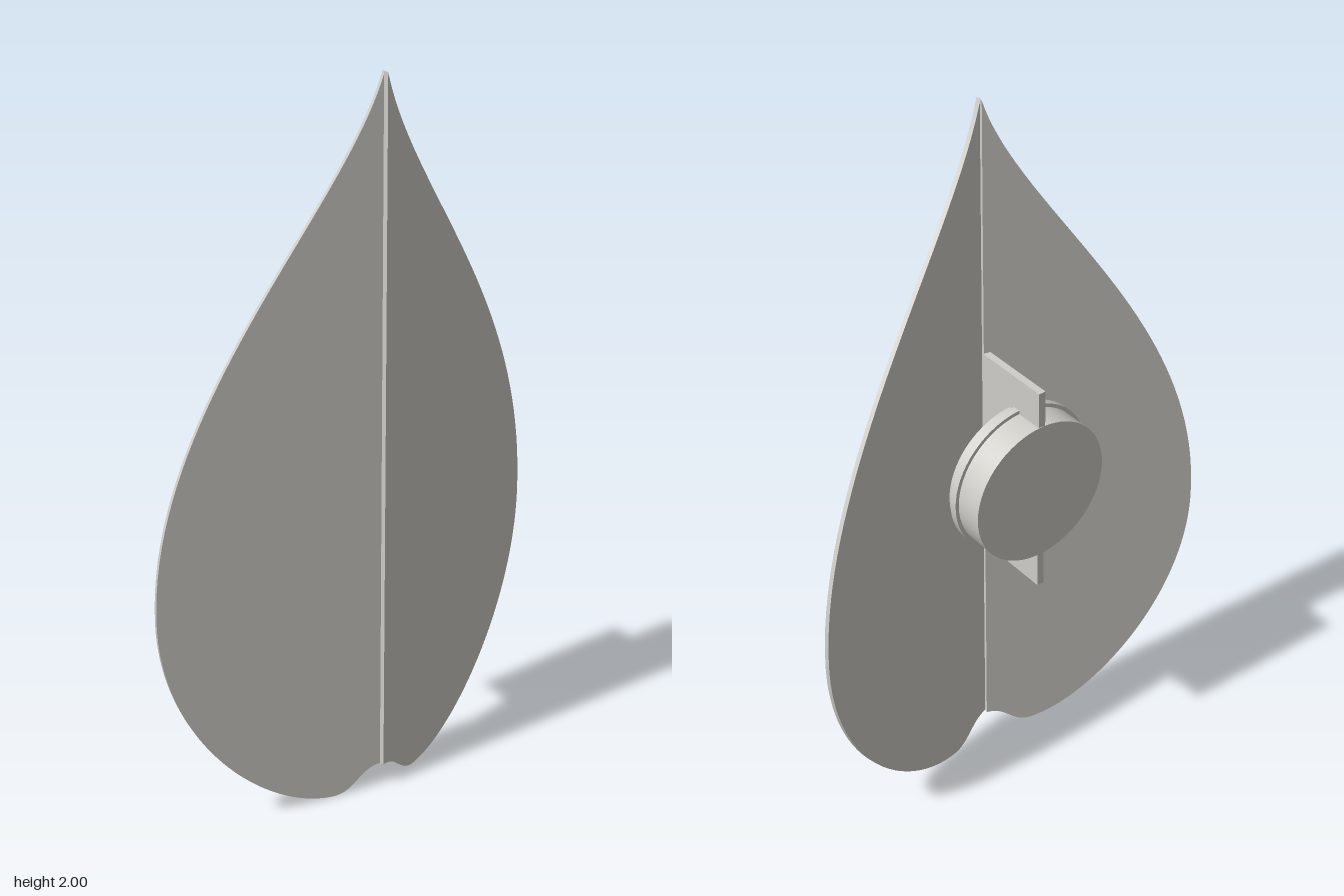
import * as THREE from 'three';
import { toCreasedNormals } from 'three/addons/utils/BufferGeometryUtils.js';

const FOLD = THREE.MathUtils.degToRad(13.8); // how far each half bends back
const THICK = 0.012;

// One half of the leaf; side is +1 (left, +x) or -1
function leafHalf(side, frontZ, material) {
  const k = side / Math.cos(FOLD);
  const shape = new THREE.Shape();
  shape.moveTo(0, 2);
  shape.bezierCurveTo(0.1 * k, 1.67, 0.605 * k, 1.25, 0.605 * k, 0.66);
  shape.bezierCurveTo(0.605 * k, 0.3, 0.33 * k, 0.01, 0.135 * k, 0.002);
  shape.bezierCurveTo(0.075 * k, 0, 0.06 * k, 0.07, 0, 0.07);
  shape.closePath();
  const geometry = new THREE.ExtrudeGeometry(shape, {
    depth: THICK, bevelEnabled: false, curveSegments: 40,
  });
  geometry.translate(0, 0, -THICK);
  const mesh = new THREE.Mesh(toCreasedNormals(geometry, 0.6), material);
  mesh.rotation.y = side * FOLD;
  mesh.position.z = frontZ;
  mesh.name = side > 0 ? 'leftLeafHalf' : 'rightLeafHalf';
  return mesh;
}

export function createModel() {
  const model = new THREE.Group();
  model.name = 'leafHook';
  const grey = new THREE.MeshStandardMaterial({ color: 0xcfcdc8 });
  grey.name = 'light grey';

  // Folded leaf, one half slightly in front of the other
  model.add(leafHalf(1, 0.125, grey), leafHalf(-1, 0.113, grey));

  // Upright fin joining the leaf fold to the round mount
  const fin = new THREE.Mesh(new THREE.BoxGeometry(0.02, 0.606, 0.228), grey);
  fin.position.set(-0.005, 0.992, -0.011);
  fin.name = 'fin';
  model.add(fin);

  // Round mount and its thin collar, axis along z
  const disc = (name, radius, backZ, frontZ) => {
    const geometry = new THREE.CylinderGeometry(radius, radius, frontZ - backZ, 64);
    geometry.rotateX(Math.PI / 2);
    const mesh = new THREE.Mesh(geometry, grey);
    mesh.position.set(-0.003, 0.992, (backZ + frontZ) / 2);
    mesh.name = name;
    model.add(mesh);
  };
  disc('mount', 0.201, -0.126, -0.008);
  disc('collar', 0.211, -0.047, -0.025);

  return model;
}
